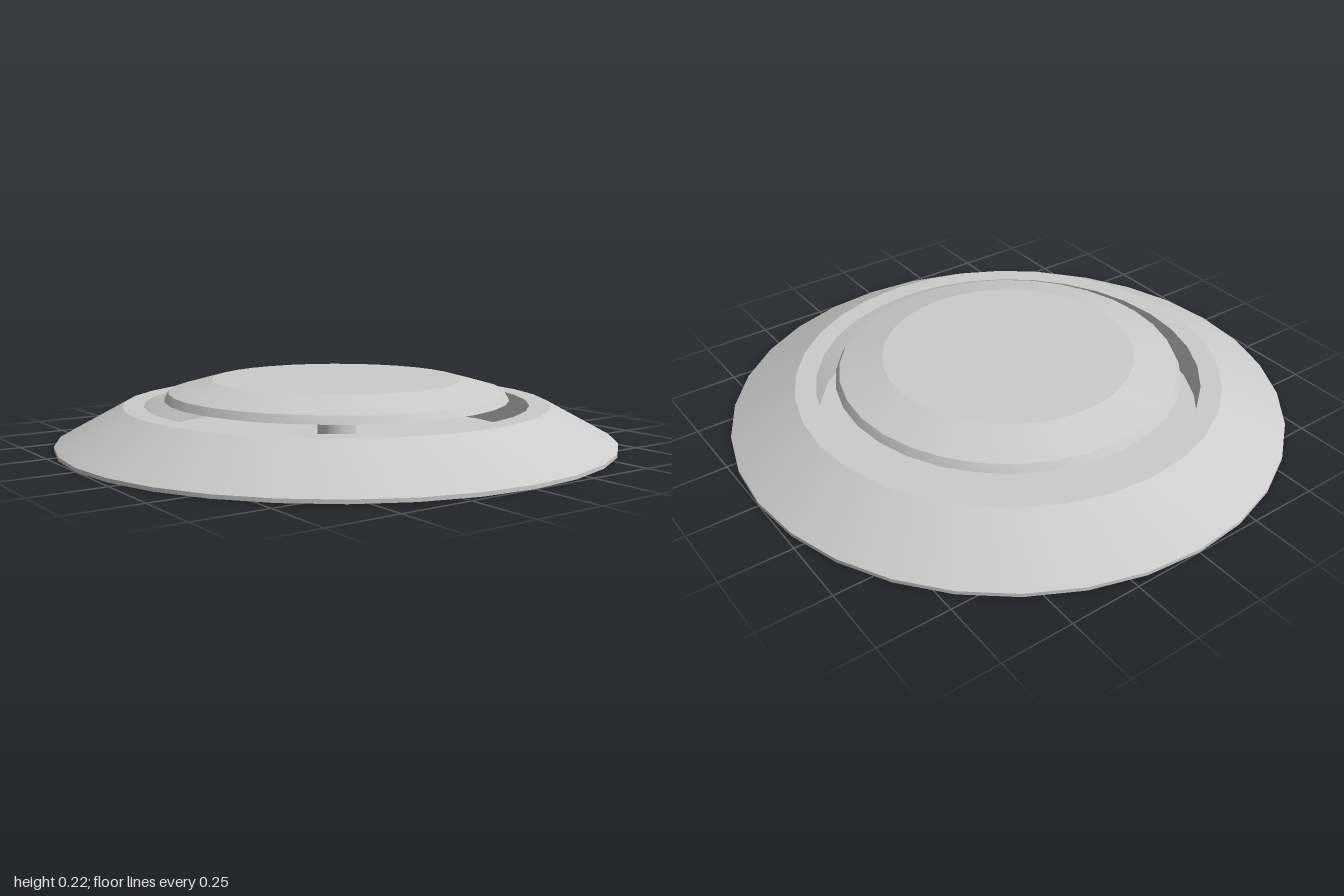
import * as THREE from 'three';
import { toCreasedNormals } from 'three/addons/utils/BufferGeometryUtils.js';

const SEGMENTS = 32;
const CREASE = 0.23; // keeps the round walls smooth and the profile corners sharp

// Revolves a [radius, height] profile, listed from the bottom centre outward and up
function turned(name, profile, material) {
  const points = profile.map(([r, y]) => new THREE.Vector2(r, y));
  const mesh = new THREE.Mesh(toCreasedNormals(new THREE.LatheGeometry(points, SEGMENTS), CREASE), material);
  mesh.name = name;
  return mesh;
}

export function createModel() {
  const grey = new THREE.MeshStandardMaterial({ color: 0xcccccc });
  const model = new THREE.Group();
  model.name = 'pressurePlate';

  // Sloped base with a round well in its top
  model.add(turned('base', [
    [0, 0], [1, 0], [1, 0.013], [0.765, 0.14],
    [0.69, 0.14], [0.69, 0.01], [0, 0.01],
  ], grey));

  // Short post that carries the plate above the well
  const post = new THREE.Mesh(new THREE.CylinderGeometry(0.07, 0.07, 0.155, SEGMENTS), grey);
  post.name = 'post';
  post.position.y = 0.0875;
  model.add(post);

  // Bevelled plate floating on the post
  model.add(turned('topPlate', [
    [0, 0.156], [0.62, 0.156], [0.605, 0.183], [0.45, 0.225], [0, 0.225],
  ], grey));

  return model;
}
